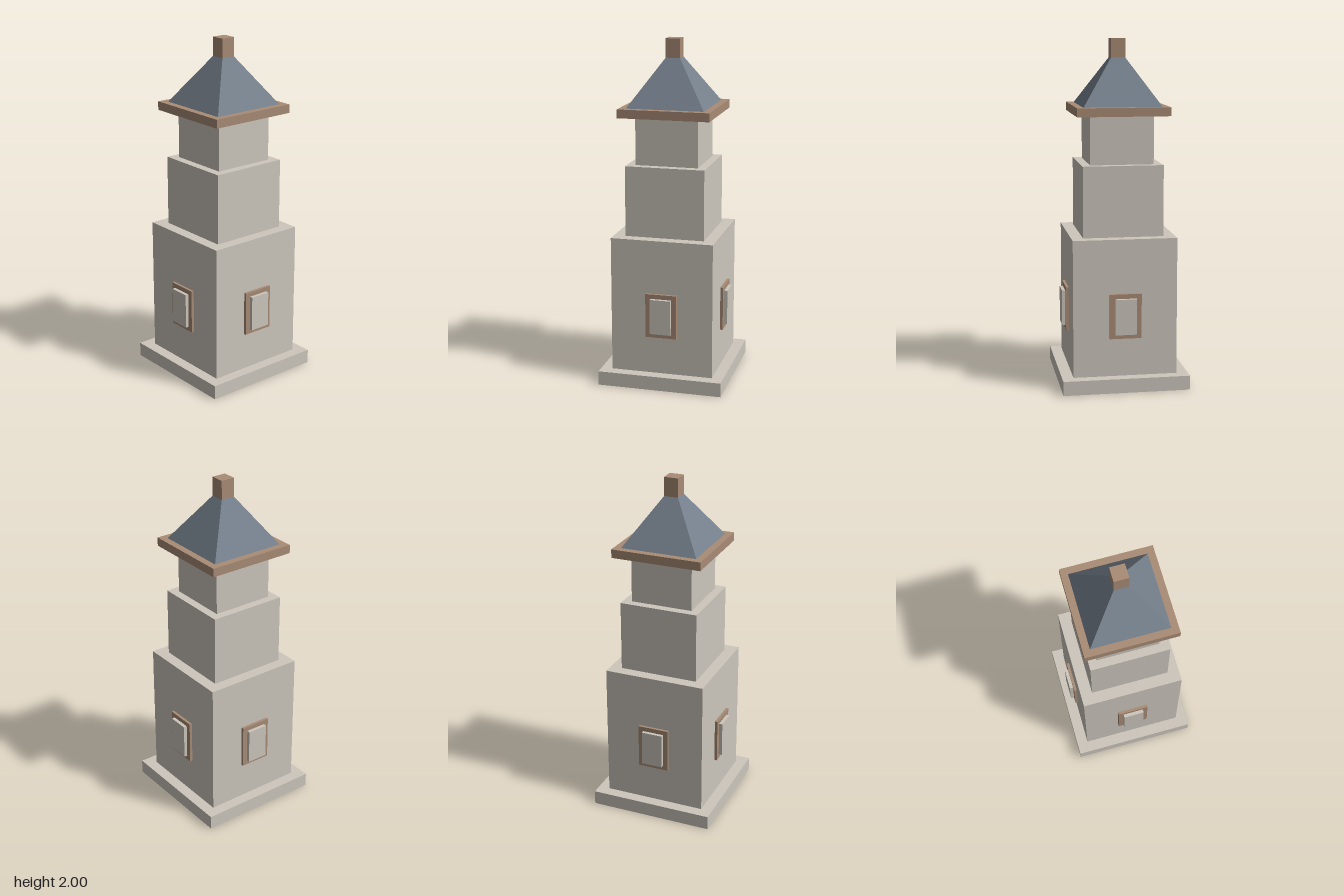
import * as THREE from 'three';

const material = (color) => new THREE.MeshStandardMaterial({ color, flatShading: true });

export function createModel() {
  const tower = new THREE.Group();
  tower.name = 'tower';
  const stone = material(0xcdc7bd);
  const wood = material(0xa98c76);
  const slate = material(0x75808c);

  const add = (parent, name, geometry, mat) => {
    const mesh = new THREE.Mesh(geometry, mat);
    mesh.name = name;
    parent.add(mesh);
    return mesh;
  };

  // Square blocks: name, half width, bottom, top, material
  const blocks = [
    ['plinth', 0.366, 0, 0.083, stone],
    ['lowerStage', 0.3, 0.083, 0.88, stone],
    ['middleStage', 0.232, 0.88, 1.29, stone],
    ['upperStage', 0.183, 1.29, 1.57, stone],
    ['eaves', 0.266, 1.57, 1.62, wood],
    ['finial', 0.042, 1.89, 2, wood],
  ];
  for (const [name, half, y0, y1, mat] of blocks) {
    add(tower, name, new THREE.BoxGeometry(half * 2, y1 - y0, half * 2), mat).position.y = (y0 + y1) / 2;
  }

  // Four-sided roof tapering to the finial
  const roof = new THREE.CylinderGeometry(0.042 * Math.SQRT2, 0.225 * Math.SQRT2, 0.27, 4);
  roof.rotateY(Math.PI / 4);
  add(tower, 'roof', roof, slate).position.y = 1.755;

  // One framed window on each side, its panel standing proud of the frame
  for (let i = 0; i < 4; i++) {
    const win = new THREE.Group();
    win.name = 'window';
    win.rotation.y = (i * Math.PI) / 2;
    add(win, 'windowFrame', new THREE.BoxGeometry(0.184, 0.26, 0.036), wood).position.set(0, 0.436, 0.298);
    add(win, 'windowPanel', new THREE.BoxGeometry(0.124, 0.207, 0.046), stone).position.set(0, 0.436, 0.313);
    tower.add(win);
  }
  return tower;
}
